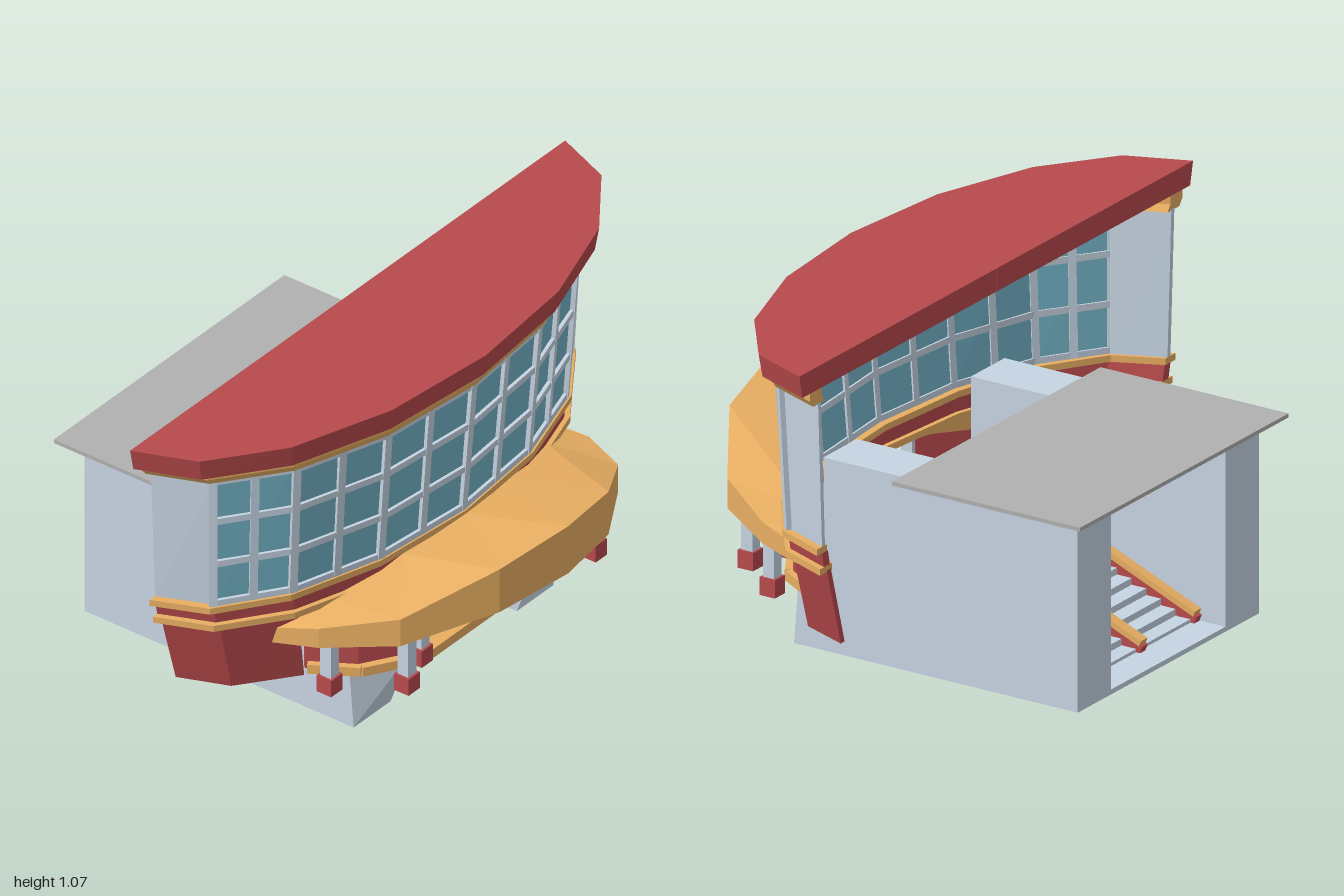
import * as THREE from 'three';

const RED = 0xb84a4c, GOLD = 0xe8ae62, PALE = 0xc6d4e2, GLASS = 0x74b4c8, GREY = 0xb0b0b0;
const V = (x, y, z) => new THREE.Vector3(x, y, z);
const mats = {};
const mat = (c) => (mats[c] ??= new THREE.MeshStandardMaterial({ color: c, flatShading: true, side: THREE.DoubleSide }));

export function createModel() {
  const root = new THREE.Group();
  const add = (name, geo, color, parent = root) => {
    const m = new THREE.Mesh(geo, mat(color));
    m.name = name;
    parent.add(m);
    return m;
  };
  const group = (name) => {
    const g = new THREE.Group();
    g.name = name;
    root.add(g);
    return g;
  };
  // Box given by its limits
  const box = (name, color, [x0, x1], [y0, y1], [z0, z1], parent) => {
    const m = add(name, new THREE.BoxGeometry(x1 - x0, y1 - y0, z1 - z0), color, parent);
    m.position.set((x0 + x1) / 2, (y0 + y1) / 2, (z0 + z1) / 2);
    return m;
  };
  // Bar between two points
  const beam = (name, color, p, q, w, h, parent) => {
    const m = add(name, new THREE.BoxGeometry(w, h, p.distanceTo(q)), color, parent);
    m.position.copy(p).add(q).multiplyScalar(0.5);
    m.lookAt(q);
    return m;
  };
  // Solid through closed four-point sections, capped at both ends
  const loft = (name, color, sections, parent) => {
    const pos = [];
    const quad = (a, b, c, d) => [a, b, c, a, c, d].forEach((p) => pos.push(p.x, p.y, p.z));
    for (let k = 0; k < sections.length - 1; k++) {
      const s = sections[k], t = sections[k + 1];
      for (let i = 0; i < 4; i++) {
        const j = (i + 1) % 4;
        quad(s[i], t[i], t[j], s[j]);
      }
    }
    quad(...sections[0]);
    quad(...[...sections[sections.length - 1]].reverse());
    const g = new THREE.BufferGeometry();
    g.setAttribute('position', new THREE.Float32BufferAttribute(pos, 3));
    g.computeVertexNormals();
    return add(name, g, color, parent);
  };

  // Half-ellipse plan with eight straight sides; t runs 0..8
  const corner = (t, a, b, y) => V(-0.08 + a * Math.sin(t * Math.PI / 8), y, b * Math.cos(t * Math.PI / 8));
  const plan = (t, a, b, y) => {
    const k = Math.min(7, Math.floor(t));
    return corner(k, a, b, y).lerp(corner(k + 1, a, b, y), t - k);
  };
  // Curved wall: lower and upper [y, depth, half width], from side t0 to t1
  const band = (name, color, [y0, a0, b0], [y1, a1, b1], thick, t0, t1, parent) => {
    const sections = [];
    for (let t = t0; t <= t1; t++) {
      sections.push([corner(t, a0, b0, y0), corner(t, a1, b1, y1),
        corner(t, Math.max(0.001, a1 - thick), Math.max(0.001, b1 - thick), y1),
        corner(t, Math.max(0.001, a0 - thick), Math.max(0.001, b0 - thick), y0)]);
    }
    loft(name, color, sections, parent);
  };

  // Curved front building
  const facade = group('facade');
  for (const [t0, t1] of [[0, 2], [6, 8]]) {
    band('baseWall', RED, [0.19, 0.396, 0.79], [0.435, 0.42, 0.86], 0.02, t0, t1, facade);
  }
  band('lowerTrim', GOLD, [0.43, 0.43, 0.895], [0.45, 0.43, 0.895], 0.06, 0, 8, facade);
  band('middleWall', RED, [0.45, 0.415, 0.875], [0.495, 0.415, 0.885], 0.03, 0, 8, facade);
  band('sillTrim', GOLD, [0.495, 0.425, 0.91], [0.515, 0.425, 0.91], 0.05, 0, 8, facade);
  const low = [0.515, 0.408, 0.885], high = [0.96, 0.445, 0.905];
  band('sidePanel', PALE, low, high, 0.015, 0, 1, facade);
  band('sidePanel', PALE, low, high, 0.015, 7, 8, facade);
  band('glass', GLASS, low, high, 0.006, 1, 7, facade);
  band('cornice', GOLD, [0.955, 0.458, 0.93], [0.975, 0.466, 0.945], 0.06, 0, 8, facade);
  band('cornice', GOLD, [0.975, 0.466, 0.945], [1.0, 0.466, 0.945], 0.06, 0, 8, facade);
  band('roofCap', RED, [1.0, 0.485, 0.985], [1.07, 0.495, 1.0], 2, 0, 8, facade);

  // Window frames: two panes per side, three rows
  const frames = group('windowFrames');
  const onGlass = (t, f) => plan(t, ...[1, 2, 0].map((i) => THREE.MathUtils.lerp(low[i], high[i], f)));
  for (let t = 1; t <= 7; t += 0.5) {
    beam('mullion', PALE, onGlass(t, 0), onGlass(t, 1), 0.024, 0.024, frames);
    if (t < 7) {
      for (const f of [0.02, 0.33, 0.665, 0.98]) {
        beam('transom', PALE, onGlass(t, f), onGlass(t + 0.5, f), 0.022, 0.02, frames);
      }
    }
  }

  // Sweeping entrance canopy: z, outer x, outer top, outer bottom, inner x, inner top, inner bottom
  const half = [
    [0.655, 0.16, 0.385, 0.335, 0.15, 0.385, 0.335],
    [0.62, 0.30, 0.42, 0.355, 0.18, 0.41, 0.345],
    [0.50, 0.50, 0.47, 0.38, 0.23, 0.44, 0.36],
    [0.25, 0.66, 0.575, 0.43, 0.31, 0.485, 0.40],
    [0, 0.71, 0.61, 0.45, 0.33, 0.50, 0.42],
  ];
  const canopyRows = [...half, ...half.slice(0, 4).reverse().map(([z, ...r]) => [-z, ...r])];
  loft('canopy', GOLD, canopyRows.map(([z, xo, to, bo, xi, ti, bi]) => {
    const zi = z * (Math.abs(z) > 0.6 ? 0.97 : 1);
    return [V(xo, bo, z), V(xo, to, z), V(xi, ti, zi), V(xi, bi, zi)];
  }));

  // Columns on square feet
  const columns = group('columns');
  for (const s of [1, -1]) {
    for (const [x, z, top] of [[0.30, 0.57, 0.37], [0.468, 0.43, 0.40], [0.41, 0.295, 0.425]]) {
      box('column', PALE, [x - 0.019, x + 0.019], [0.23, top], [s * z - 0.019, s * z + 0.019], columns);
      box('columnFoot', RED, [x - 0.026, x + 0.026], [0.185, 0.24], [s * z - 0.026, s * z + 0.026], columns);
    }
  }

  // Porch side walls and the trim around the landing
  const porch = group('porch');
  const path = [[0.18, 0.53, 0.36], [0.31, 0.45, 0.38], [0.40, 0.30, 0.415]];
  for (const s of [1, -1]) {
    const rows = path.map(([x, z, y]) =>
      [V(x, 0.19, s * z), V(x, y, s * z), V(x - 0.015, y, s * (z - 0.015)), V(x - 0.015, 0.19, s * (z - 0.015))]);
    loft('porchWall', RED, s > 0 ? rows : rows.reverse(), porch);
    for (let i = 0; i < 2; i++) {
      const [p, q] = [path[i], path[i + 1]].map(([x, z]) => V(x + 0.01, 0.2, s * z));
      beam('porchTrim', GOLD, p, q, 0.03, 0.03, porch);
    }
  }
  box('frontTrim', GOLD, [0.40, 0.43], [0.185, 0.215], [-0.3, 0.3], porch);
  box('landing', GOLD, [0, 0.40], [0.188, 0.2], [-0.29, 0.29], porch);

  // Passage building: thick side walls with splayed feet, floor strip and flat roof
  const hall = group('hall');
  for (const s of [1, -1]) {
    const ring = (y, xo, xi) => [V(-0.665, y, s * 0.46), V(xo, y, s * 0.46), V(xi, y, s * 0.29), V(-0.665, y, s * 0.29)];
    const rows = [ring(0, 0.30, 0.30), ring(0.19, 0.285, 0.37)];
    loft('wallFoot', PALE, s > 0 ? rows : rows.reverse(), hall);
    box('sideWall', PALE, [-0.665, 0.2], [0.19, 0.586], s > 0 ? [0.29, 0.46] : [-0.46, -0.29], hall);
  }
  box('floorStrip', PALE, [-0.665, -0.565], [0, 0.015], [-0.29, 0.29], hall);
  box('flatRoof', GREY, [-0.72, -0.08], [0.585, 0.597], [-0.53, 0.53], hall);

  // Stairs rising towards the porch
  const stairs = group('stairs');
  const profile = new THREE.Shape();
  const steps = 9;
  profile.moveTo(0, 0.005);
  profile.lineTo(0, 0.188);
  for (let i = steps; i > 0; i--) {
    const x = -0.565 + (i - 1) * 0.05;
    profile.lineTo(x, 0.005 + 0.183 * i / steps);
    profile.lineTo(x, 0.005 + 0.183 * (i - 1) / steps);
  }
  const flight = add('steps', new THREE.ExtrudeGeometry(profile, { depth: 0.58, bevelEnabled: false }), PALE, stairs);
  flight.position.z = -0.29;
  for (const z of [-0.275, 0, 0.275]) {
    beam('railBase', RED, V(-0.58, 0.02, z), V(-0.1, 0.215, z), 0.026, 0.035, stairs);
    beam('handrail', GOLD, V(-0.58, 0.045, z), V(-0.1, 0.24, z), 0.034, 0.018, stairs);
    box('railPost', RED, [-0.01, 0.015], [0.015, 0.19], [z - 0.013, z + 0.013], stairs);
  }
  return root;
}
